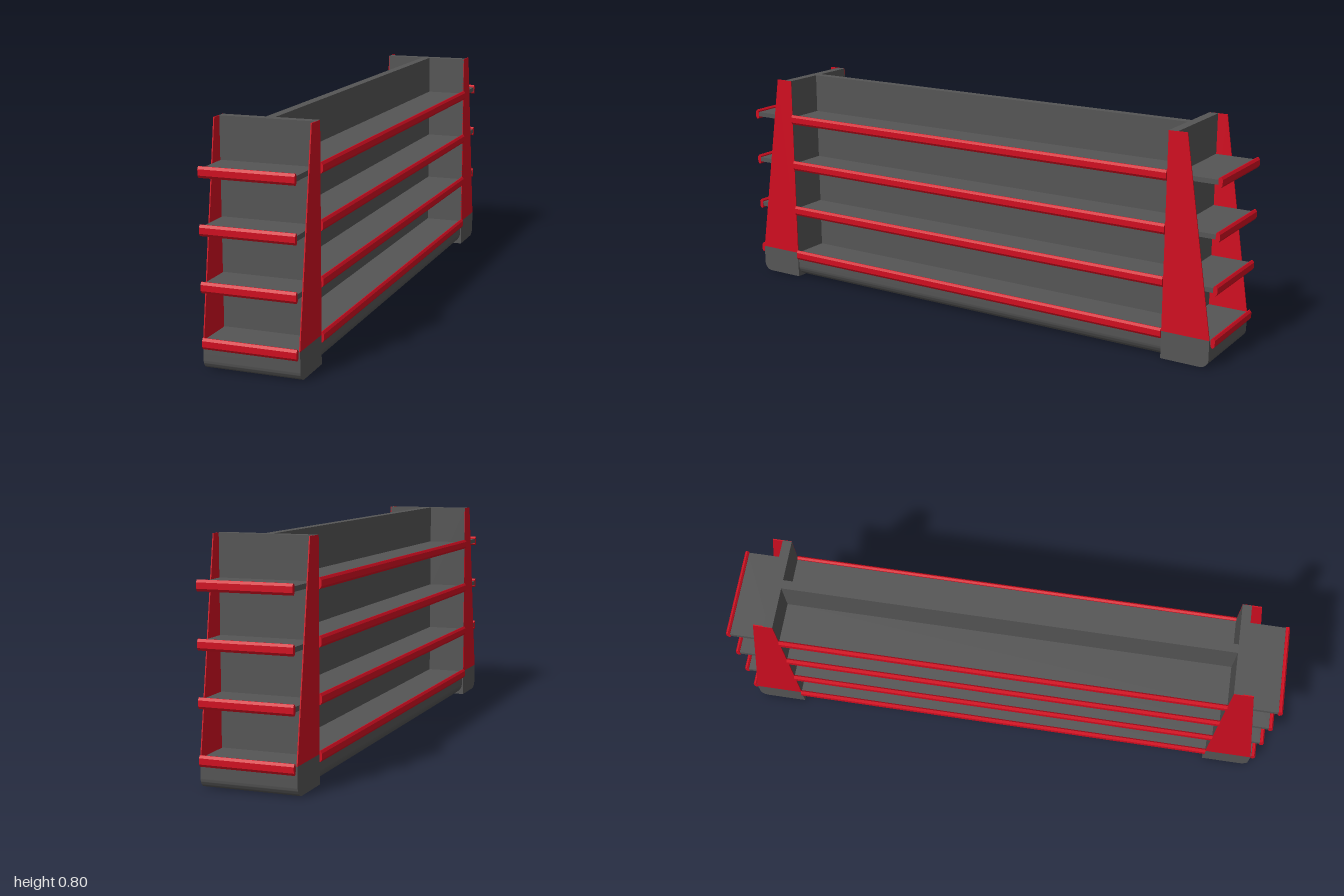
import * as THREE from 'three';
import { toCreasedNormals } from 'three/addons/utils/BufferGeometryUtils.js';

const GREY = new THREE.MeshStandardMaterial({ color: 0x555555 });
const RED = new THREE.MeshStandardMaterial({ color: 0xd00d20 });

const HALF_W = 0.168;   // half width of the unit
const BAY = 0.805;      // half length of the long shelves
const LEVELS = [0.092, 0.278, 0.464, 0.65];

function add(parent, name, geometry, material) {
  const mesh = new THREE.Mesh(geometry, material);
  mesh.name = name;
  parent.add(mesh);
  return mesh;
}

function box(parent, name, material, x0, x1, y0, y1, z0, z1) {
  const mesh = add(parent, name, new THREE.BoxGeometry(x1 - x0, y1 - y0, z1 - z0), material);
  mesh.position.set((x0 + x1) / 2, (y0 + y1) / 2, (z0 + z1) / 2);
  return mesh;
}

// Extrudes a shape along z, centred on the origin
function extrude(shape, depth, crease = 0.5) {
  const g = new THREE.ExtrudeGeometry(shape, { depth, bevelEnabled: false, curveSegments: 8 });
  g.translate(0, 0, -depth / 2);
  return toCreasedNormals(g, crease);
}

const polygon = (pts) => new THREE.Shape(pts.map(([x, y]) => new THREE.Vector2(x, y)));

// Price rail: chamfered strip whose outer face points to +x and which runs along z
const railShape = polygon([
  [-0.015, -0.013], [-0.009, -0.0185], [-0.006, -0.0185], [0, -0.010],
  [0, 0.010], [-0.006, 0.0185], [-0.009, 0.0185], [-0.015, 0.013],
]);
const rail = (length) => extrude(railShape, length, 0.1);

// Long shelves with their rails, on one side
function makeSide() {
  const side = new THREE.Group();
  side.name = 'longSide';
  for (const y of LEVELS) {
    box(side, 'longShelf', GREY, 0.01, 0.165, y - 0.008, y + 0.008, -BAY, BAY);
    add(side, 'longRail', rail(2 * BAY), RED).position.set(0.176, y, 0);
  }
  return side;
}

// End unit: wall, foot, sloping side panels and short shelves
function makeEnd() {
  const end = new THREE.Group();
  end.name = 'endUnit';
  box(end, 'endWall', GREY, -HALF_W + 0.001, HALF_W - 0.001, 0.05, 0.803, BAY, 0.838);

  // foot with a rounded lower outer edge
  const r = 0.032;
  const foot = new THREE.Shape();
  foot.moveTo(BAY, 0);
  foot.lineTo(0.982 - r, 0);
  foot.absarc(0.982 - r, r, r, -Math.PI / 2, 0, false);
  foot.lineTo(0.982, 0.1);
  foot.lineTo(BAY, 0.1);
  add(end, 'endFoot', extrude(foot, 2 * HALF_W), GREY).rotation.y = -Math.PI / 2;

  const panel = polygon([[BAY, 0.1], [0.982, 0.1], [0.873, 0.803], [BAY, 0.803]]);
  for (const s of [-1, 1]) {
    const mesh = add(end, 'sidePanel', extrude(panel, 0.004), RED);
    mesh.rotation.y = -Math.PI / 2;
    mesh.position.x = s * (HALF_W - 0.002);
  }

  for (const y of LEVELS) {
    box(end, 'endShelf', GREY, -0.162, 0.162, y - 0.008, y + 0.009, 0.83, 0.99);
    const bar = add(end, 'endRail', rail(0.326), RED);
    bar.rotation.y = -Math.PI / 2;
    bar.position.set(0, y, 1);
  }
  return end;
}

export function createModel() {
  const model = new THREE.Group();
  model.name = 'shelvingUnit';

  // plinth with rounded lower edges under the long shelves
  const w = 0.163, r = 0.045;
  const plinth = new THREE.Shape();
  plinth.moveTo(-w + r, 0.002);
  plinth.lineTo(w - r, 0.002);
  plinth.absarc(w - r, r + 0.002, r, -Math.PI / 2, 0, false);
  plinth.lineTo(w, 0.09);
  plinth.lineTo(-w, 0.09);
  plinth.lineTo(-w, r + 0.002);
  plinth.absarc(-w + r, r + 0.002, r, Math.PI, 1.5 * Math.PI, false);
  add(model, 'plinth', extrude(plinth, 2 * BAY), GREY);

  box(model, 'centreWall', GREY, -0.016, 0.016, 0.08, 0.803, -BAY, BAY);

  // both sides and both ends are the same part turned round
  for (const angle of [0, Math.PI]) {
    const side = makeSide();
    const end = makeEnd();
    side.rotation.y = end.rotation.y = angle;
    model.add(side, end);
  }
  return model;
}
